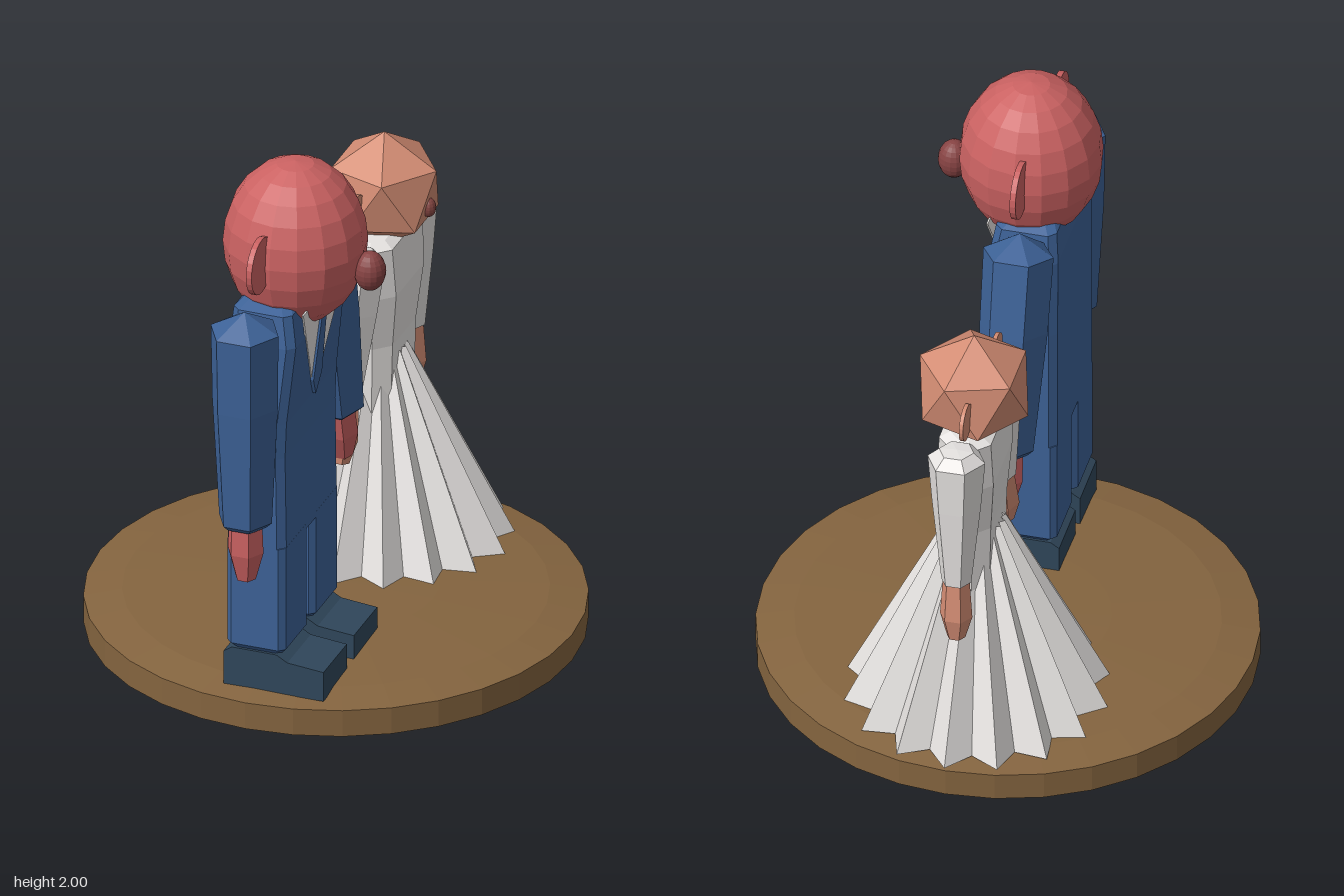
import * as THREE from 'three';

const paint = (color, side = THREE.FrontSide) =>
  new THREE.MeshStandardMaterial({ color, flatShading: true, side });

const wood = paint(0x84643f), suit = paint(0x3d6297), leather = paint(0x30475b);
const redSkin = paint(0xcb6262), darkRed = paint(0x874343), peach = paint(0xd48d74);
const noseBrown = paint(0x824440), cloth = paint(0xe6e3e1, THREE.DoubleSide);

function add(parent, name, geometry, material, x = 0, y = 0, z = 0) {
  const mesh = new THREE.Mesh(geometry, material);
  mesh.name = name;
  mesh.position.set(x, y, z);
  parent.add(mesh);
  return mesh;
}

// Stack of box-like sections with cut corners: [y, x0, x1, z0, z1], bottom to top
function loft(sections, cut) {
  const pos = [], idx = [], n = 8;
  for (const [y, x0, x1, z0, z1] of sections) {
    const c = Math.min(cut, (x1 - x0) / 3, (z1 - z0) / 3);
    pos.push(x1, y, z0 + c, x1 - c, y, z0, x0 + c, y, z0, x0, y, z0 + c,
      x0, y, z1 - c, x0 + c, y, z1, x1 - c, y, z1, x1, y, z1 - c);
  }
  for (let s = 0; s < sections.length - 1; s++) {
    for (let i = 0; i < n; i++) {
      const a = s * n + i, b = s * n + (i + 1) % n;
      idx.push(a, b, b + n, a, b + n, a + n);
    }
  }
  const top = (sections.length - 1) * n;
  for (let i = 1; i < n - 1; i++) {
    idx.push(0, i + 1, i, top, top + i, top + i + 1);
  }
  const g = new THREE.BufferGeometry();
  g.setAttribute('position', new THREE.Float32BufferAttribute(pos, 3));
  g.setIndex(idx);
  g.computeVertexNormals();
  return g;
}

// Six-sided limb hanging from `from` towards `to`; profile is [radius, distance down]
function limb(parent, name, from, to, profile, material) {
  const points = profile.map(([r, d]) => new THREE.Vector2(r, -d)).reverse();
  const mesh = add(parent, name, new THREE.LatheGeometry(points, 6, Math.PI / 2), material, ...from);
  const dir = new THREE.Vector3(...to).sub(mesh.position).normalize();
  mesh.quaternion.setFromUnitVectors(new THREE.Vector3(0, -1, 0), dir);
}

function ear(parent, name, r, thick, material, x, y, z) {
  add(parent, name, new THREE.CylinderGeometry(r, r, thick, 24), material, x, y, z).rotation.z = Math.PI / 2;
}

function makeBase() {
  const profile = [[0, 0], [0.85, 0], [0.85, 0.098], [0.72, 0.122], [0.35, 0.141], [0, 0.146]];
  const g = new THREE.LatheGeometry(profile.map(p => new THREE.Vector2(...p)), 32);
  const base = new THREE.Mesh(g, wood);
  base.name = 'base';
  base.position.z = -0.065;
  return base;
}

function makeGroom() {
  const groom = new THREE.Group();
  groom.name = 'groom';

  // Head, nose and ears
  add(groom, 'groomHead', new THREE.SphereGeometry(0.245, 16, 12), redSkin, 0.048, 1.702, 0.44).scale.y = 1.22;
  add(groom, 'groomNose', new THREE.SphereGeometry(0.055, 16, 12), darkRed, 0.315, 1.631, 0.436).scale.y = 1.3;
  ear(groom, 'groomLeftEar', 0.1, 0.02, redSkin, 0.022, 1.74, 0.18);
  ear(groom, 'groomRightEar', 0.1, 0.02, redSkin, 0.022, 1.73, 0.71);

  // Jacket
  add(groom, 'jacket', loft([
    [0.64, -0.1, 0.11, 0.19, 0.71], [1.0, -0.1, 0.105, 0.19, 0.71], [1.13, -0.1, 0.11, 0.19, 0.71],
    [1.42, -0.1, 0.14, 0.2, 0.7], [1.53, -0.09, 0.12, 0.22, 0.68], [1.56, -0.06, 0.08, 0.28, 0.6],
  ], 0.025), suit);

  // Shirt front and tie, lying on the sloped chest
  const chest = new THREE.Group();
  chest.name = 'shirtFront';
  chest.position.set(0.108, 1.13, 0.44);
  chest.rotation.set(0, Math.PI / 2, 0);
  groom.add(chest);
  const flat = (name, pts, depth, material) => {
    const shape = new THREE.Shape(pts.map(p => new THREE.Vector2(...p)));
    const g = new THREE.ExtrudeGeometry(shape, { depth, bevelEnabled: false });
    add(chest, name, g, material).rotation.x = 0.1;
  };
  flat('shirt', [[0, 0], [0.2, 0.4], [-0.2, 0.4]], 0.006, cloth);
  flat('tie', [[0, 0], [0.04, 0.07], [0.022, 0.32], [-0.022, 0.32], [-0.04, 0.07]], 0.014, suit);

  // Trouser legs and shoes
  const shoe = new THREE.Shape([[-0.11, 0.11], [0.25, 0.11], [0.25, 0.22], [0.12, 0.232],
    [0.08, 0.255], [-0.08, 0.255], [-0.11, 0.235]].map(p => new THREE.Vector2(...p)));
  for (const [side, z0, z1] of [['left', 0.19, 0.427], ['right', 0.475, 0.71]]) {
    add(groom, side + 'TrouserLeg', loft([
      [0.24, -0.07, 0.08, z0 + 0.03, z1 - 0.03], [0.275, -0.1, 0.11, z0, z1], [0.66, -0.1, 0.11, z0, z1],
    ], 0.02), suit);
    add(groom, side + 'Shoe', new THREE.ExtrudeGeometry(shoe, { depth: 0.22, bevelEnabled: false }),
      leather, 0, 0, (z0 + z1) / 2 - 0.11);
  }

  // Arms and hands
  const sleeve = [[0, 0], [0.122, 0.07], [0.118, 0.35], [0.095, 0.79], [0.075, 0.81], [0, 0.81]];
  const hand = [[0, 0.78], [0.06, 0.79], [0.064, 0.91], [0.036, 1.015], [0, 1.015]];
  const arms = [['Right', [0.008, 1.6, 0.812], [0.008, 0.6, 0.8]], ['Left', [0.008, 1.6, 0.125], [0.01, 0.6, -0.108]]];
  for (const [side, from, to] of arms) {
    limb(groom, `groom${side}Sleeve`, from, to, sleeve, suit);
    limb(groom, `groom${side}Hand`, from, to, hand, redSkin);
  }
  return groom;
}

function makeBride() {
  const bride = new THREE.Group();
  bride.name = 'bride';

  // Faceted head with a point up, nose and ears
  const head = new THREE.IcosahedronGeometry(0.21, 0);
  head.rotateZ(-Math.atan(2 / (1 + Math.sqrt(5))));
  add(bride, 'brideHead', head, peach, 0.005, 1.425, -0.505);
  add(bride, 'brideNose', new THREE.SphereGeometry(0.027, 12, 10), noseBrown, 0.168, 1.384, -0.493).scale.y = 1.3;
  ear(bride, 'brideLeftEar', 0.064, 0.014, peach, -0.018, 1.425, -0.712);
  ear(bride, 'brideRightEar', 0.064, 0.014, peach, -0.018, 1.422, -0.298);

  // Bodice
  add(bride, 'bodice', loft([
    [0.66, -0.07, 0.08, -0.64, -0.32], [0.9, -0.075, 0.085, -0.645, -0.32], [1.1, -0.09, 0.105, -0.675, -0.295],
    [1.28, -0.085, 0.095, -0.69, -0.285], [1.3, -0.05, 0.06, -0.65, -0.33],
  ], 0.06), cloth);

  // Pleated skirt: every other column is pulled inwards
  const pleats = 16;
  const skirt = new THREE.CylinderGeometry(0.095, 0.455, 0.73, pleats * 2, 1, true);
  const p = skirt.attributes.position;
  for (let i = 0; i < p.count; i++) {
    if (i % (pleats * 2 + 1) % 2 === 1) {
      p.setX(i, p.getX(i) * 0.82);
      p.setZ(i, p.getZ(i) * 0.82);
    }
  }
  add(bride, 'skirt', skirt, cloth, 0, 0.485, -0.475);

  // Arms and hands
  const sleeve = [[0, 0], [0.06, 0.005], [0.1, 0.04], [0.085, 0.22], [0.052, 0.53], [0, 0.53]];
  const hand = [[0, 0.51], [0.046, 0.52], [0.056, 0.67], [0.032, 0.755], [0, 0.755]];
  const arms = [['Right', [0.01, 1.315, -0.25], [0, 0.57, -0.105]], ['Left', [0.01, 1.315, -0.725], [0, 0.57, -0.768]]];
  for (const [side, from, to] of arms) {
    limb(bride, `bride${side}Sleeve`, from, to, sleeve, cloth);
    limb(bride, `bride${side}Hand`, from, to, hand, peach);
  }
  return bride;
}

export function createModel() {
  const model = new THREE.Group();
  model.name = 'weddingCouple';
  model.add(makeBase(), makeGroom(), makeBride());
  return model;
}
